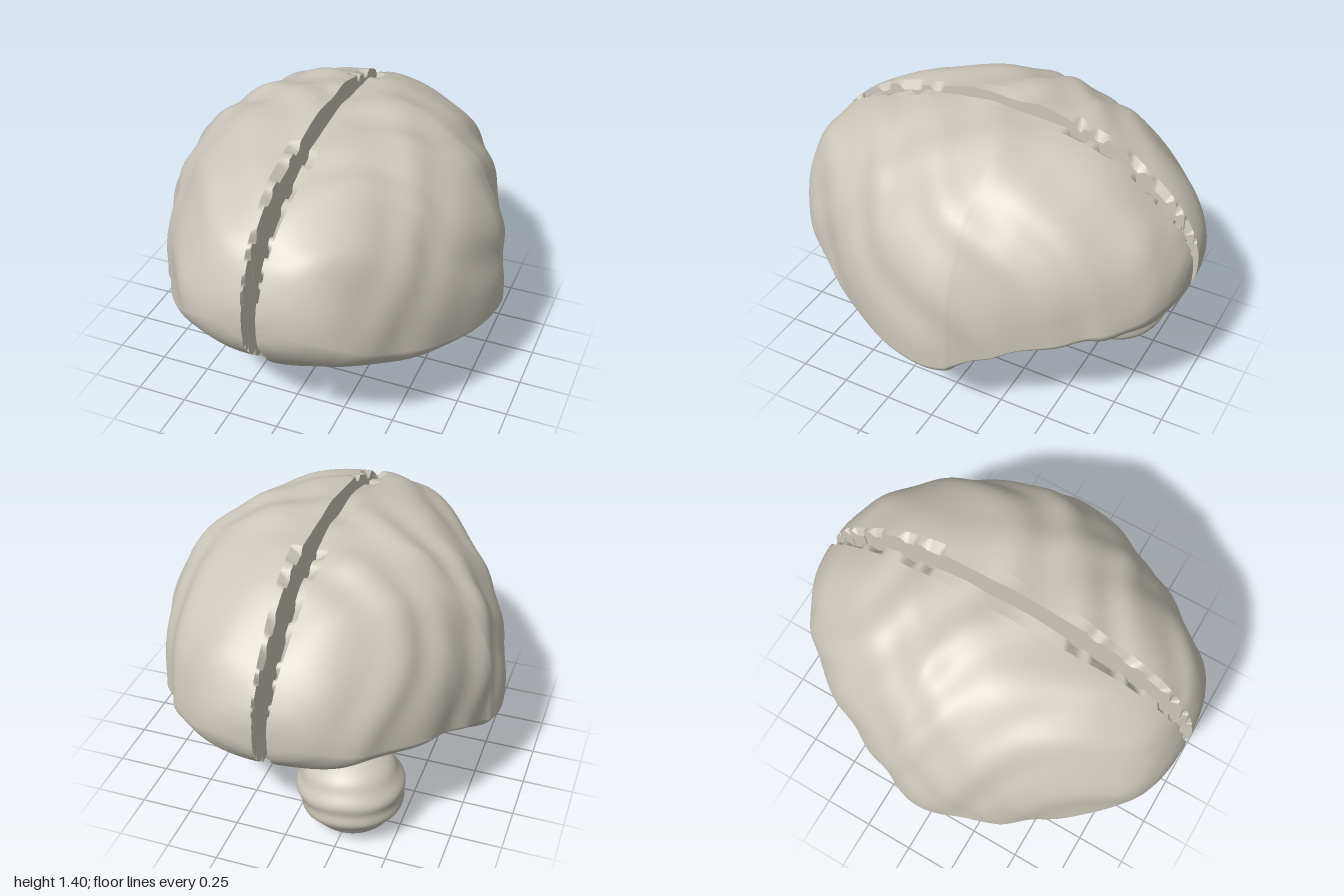
import * as THREE from 'three';

// Section table, front to back: z, top, bottom, half width, height of widest point
const SECTIONS = [
  [1.0, .83, .77, .05, .795], [.99, .89, .70, .16, .78], [.96, .975, .635, .27, .755],
  [.9, 1.085, .56, .38, .71], [.8, 1.185, .47, .475, .64], [.6, 1.285, .355, .615, .55],
  [.4, 1.34, .292, .73, .49], [.2, 1.38, .262, .815, .465], [0, 1.39, .255, .855, .46],
  [-.12, 1.393, .257, .84, .46], [-.17, 1.39, .32, .82, .475], [-.25, 1.375, .405, .785, .51],
  [-.4, 1.345, .478, .725, .575], [-.6, 1.268, .515, .63, .635], [-.8, 1.13, .537, .485, .68],
  [-.9, 1.03, .567, .375, .7], [-.965, .93, .635, .25, .735], [-.992, .86, .69, .14, .75],
  [-1.0, .80, .74, .045, .765],
];
const curveOf = (a, b) => new THREE.CatmullRomCurve3(
  SECTIONS.map((r) => new THREE.Vector3(r[0], r[a], r[b])), false, 'catmullrom', 0.5);
const heights = curveOf(1, 2), widths = curveOf(3, 4);
const GAP = 0.034, MIDDLE = 0.005;

// Surface through rows of points
function skin(rows, flip) {
  const cols = rows[0].length, index = [];
  for (let i = 0; i < rows.length - 1; i++) {
    for (let j = 0; j < cols - 1; j++) {
      const a = i * cols + j, b = a + 1, c = a + cols, d = c + 1;
      if (flip) index.push(a, c, b, b, c, d);
      else index.push(a, b, c, b, d, c);
    }
  }
  const g = new THREE.BufferGeometry();
  g.setAttribute('position', new THREE.Float32BufferAttribute(rows.flat(2), 3));
  g.setIndex(index);
  g.computeVertexNormals();
  return g;
}

// Soft folds slanting from the upper front to the lower back; x is the distance from the middle
function folds(x, y, z, seed) {
  const warp = 1.4 * Math.sin(3.5 * z + 3 * y + seed) + Math.sin(5 * x - 3 * z + 2 * seed);
  return 0.008 * Math.sin(15 * z - 9 * y + 13 * x + warp + seed)
    + 0.005 * Math.sin(7 * z + 9 * y - 8 * x + 1.5 * warp)
    + 0.002 * Math.sin(25 * z - 17 * y + 14 * x + 2 * warp);
}

function hemisphereRows(side, seed) {
  const NZ = 180, NJ = 72, rows = [];
  for (let i = 0; i <= NZ; i++) {
    const h = heights.getPoint(i / NZ), w = widths.getPoint(i / NZ);
    const z = THREE.MathUtils.clamp(h.x, -1, 1), top = h.y, bottom = h.z, wide = w.z;
    const fade = Math.min(1, (1 - Math.abs(z)) * 8);
    const notched = Math.abs(z) > 0.35 && fade > 0.1 && Math.sin(Math.floor(i / 3) * 2.4 + seed) > 0;
    const row = [];
    for (let j = 0; j <= NJ; j++) {
      const a = Math.PI * j / NJ, upper = j <= NJ / 2;
      const e = 2 / (upper ? 2.05 + 0.35 * (1 - z * z) : 1.8);
      const sn = Math.max(0, Math.sin(a)), cs = Math.cos(a);
      const u = Math.pow(sn, e), v = Math.pow(Math.abs(cs), e);
      const y = upper ? wide + (top - wide) * v : wide - (wide - bottom) * v;
      const x = GAP + (w.y - GAP) * u;
      const d = folds(x, y, z, seed) * fade;
      if (j === 0 || j === NJ) {
        // Ragged notches on the inner rim
        const cut = notched ? 0.03 : 0;
        row.push([side * GAP + MIDDLE, y + (d - cut) * cs, z - cut * z * Math.abs(z)]);
      } else {
        row.push([side * Math.max(GAP, x + d * sn) + MIDDLE, y + d * cs, z]);
      }
    }
    rows.push(row);
  }
  return rows;
}

export function createModel() {
  const model = new THREE.Group();
  const stone = new THREE.MeshStandardMaterial({ color: 0xccc7bb });
  stone.name = 'warmGrey';
  const add = (parent, name, geometry) => {
    const mesh = new THREE.Mesh(geometry, stone);
    mesh.name = name;
    parent.add(mesh);
    return mesh;
  };

  // Two halves, each a folded outer skin, ragged rims and a flat inner wall
  for (const [name, side, seed] of [['leftHemisphere', 1, 0.7], ['rightHemisphere', -1, 3.4]]) {
    const half = new THREE.Group();
    half.name = name;
    const rows = hemisphereRows(side, seed);
    add(half, 'foldedSurface', skin(rows.map((r) => r.slice(1, -1)), side < 0));
    add(half, 'upperRim', skin(rows.map((r) => r.slice(0, 2)), side < 0));
    add(half, 'lowerRim', skin(rows.map((r) => r.slice(-2)), side < 0));
    add(half, 'innerWall', skin(rows.map((r) => [r[0], r[r.length - 1]]), side > 0));
    // Small caps closing the front and back tips
    for (const [capName, row, flip] of [['frontTip', rows[0], side < 0], ['backTip', rows[rows.length - 1], side > 0]]) {
      const n = row.length - 1;
      const pairs = row.slice(0, n / 2 + 1).map((p, k) => [p, row[n - k]]);
      add(half, capName, skin(pairs, flip));
    }
    model.add(half);
  }

  // Arched bridge between the halves
  const arch = new THREE.Shape();
  arch.moveTo(-0.355, 0.67);
  arch.lineTo(-0.355, 0.75);
  arch.quadraticCurveTo(0, 0.95, 0.355, 0.75);
  arch.lineTo(0.355, 0.67);
  arch.quadraticCurveTo(0, 0.85, -0.355, 0.67);
  const bridge = new THREE.ExtrudeGeometry(arch, { depth: 0.076, bevelEnabled: false, curveSegments: 16 });
  bridge.translate(0, 0, -0.038).rotateY(Math.PI / 2);
  add(model, 'bridge', bridge).position.x = MIDDLE;

  // Ridged ball under the back
  const ball = new THREE.SphereGeometry(1, 64, 64);
  const p = ball.attributes.position, q = new THREE.Vector3();
  for (let i = 0; i < p.count; i++) {
    q.fromBufferAttribute(p, i);
    const ring = Math.sqrt(Math.max(0, 1 - q.y * q.y));
    const k = 1 + 0.025 * ring * Math.sin(12.5 * q.y + 1.2 * Math.sin(2 * q.x + q.z));
    p.setXYZ(i, q.x * k, q.y, q.z * k);
  }
  ball.scale(0.257, 0.23, 0.245);
  ball.computeVertexNormals();
  add(model, 'cerebellum', ball).position.set(-0.262, 0.232, -0.54);

  return model;
}
